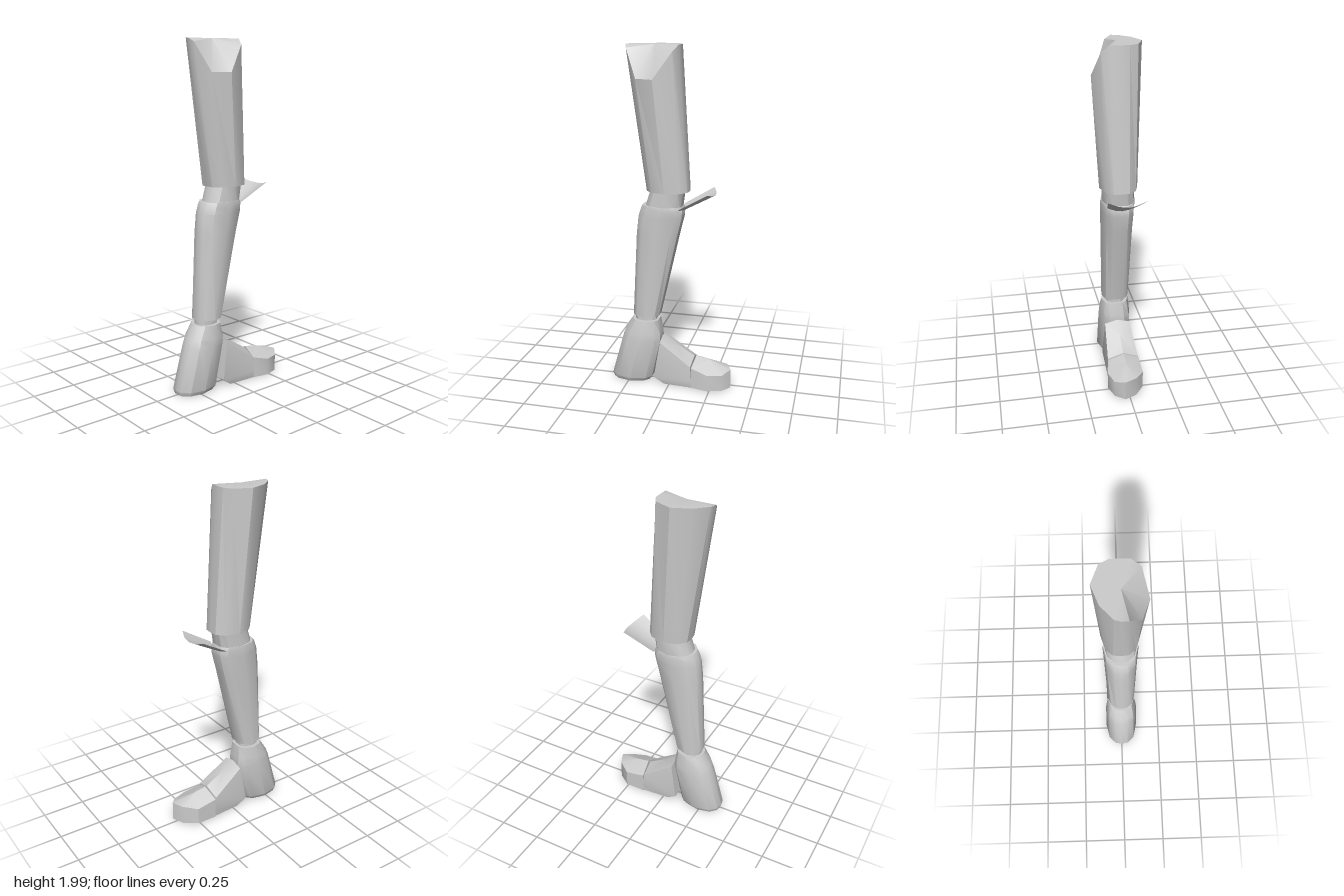
import * as THREE from 'three';
import { toCreasedNormals } from 'three/addons/utils/BufferGeometryUtils.js';

const material = new THREE.MeshStandardMaterial({ color: 0xcccccc });

// Mirrors half an outline [x, z] across z = 0; y is a number or a rule of x and z
function ring(half, y) {
  const far = half.filter(p => p[1] !== 0).reverse().map(([x, z]) => [x, -z]);
  return level([...half, ...far], y);
}

function level(outline, y) {
  return outline.map(([x, z]) => [x, typeof y === 'function' ? y(x, z) : y, z]);
}

function middle(points) {
  return [0, 1, 2].map(k => points.reduce((s, p) => s + p[k], 0) / points.length);
}

// Closed solid through rings from bottom to top, with fan caps
function loft(name, rings, topCentre) {
  const pos = [];
  const tri = (...corners) => corners.forEach(c => pos.push(...c));
  const n = rings[0].length;
  const low = rings[0], high = rings[rings.length - 1];
  const base = middle(low), top = topCentre || middle(high);
  for (let i = 0; i < n; i++) {
    const j = (i + 1) % n;
    for (let r = 0; r < rings.length - 1; r++) {
      const a = rings[r], b = rings[r + 1];
      tri(a[i], b[i], b[j]);
      tri(a[i], b[j], a[j]);
    }
    tri(base, low[i], low[j]);
    tri(top, high[j], high[i]);
  }
  return finish(name, pos, material);
}

function finish(name, pos, mat) {
  const geo = new THREE.BufferGeometry();
  geo.setAttribute('position', new THREE.Float32BufferAttribute(pos, 3));
  geo.computeVertexNormals();
  const mesh = new THREE.Mesh(toCreasedNormals(geo, 0.6), mat);
  mesh.name = name;
  return mesh;
}

// Rounded half outline between a back and a front x, with a flattened front
function limb(back, front, w) {
  const d = front - back;
  return [[front, 0], [front - d * 0.01, w * 0.45], [front - d * 0.13, w * 0.78], [front - d * 0.48, w],
    [back + d * 0.18, w * 0.8], [back + d * 0.03, w * 0.4], [back, 0]];
}

export function createModel() {
  const leg = new THREE.Group();
  leg.name = 'leg';

  // Thigh, with its top cut away on the +z side
  const thighTop = [[0.05, 0], [0.05, 0.05], [0.025, 0.10], [-0.076, 0.14], [-0.18, 0.10], [-0.25, 0.035], [-0.26, 0]];
  const cut = (x, z) => {
    if (z < 0.03) return 2;
    if (x > 0.04) return 2;
    if (x > 0) return 1.965;
    return x < -0.2 ? 1.98 : 1.82;
  };
  const thighBase = [[0.105, 0], [0.10, 0.045], [0.065, 0.085], [-0.02, 0.11], [-0.10, 0.085], [-0.135, 0.045], [-0.14, 0]];
  leg.add(loft('thigh', [ring(thighBase, 1.19), ring(thighTop, cut)], [-0.1, 2, 0]));

  // Knee joint
  leg.add(loft('knee', [ring(limb(-0.155, 0.06, 0.095), 1.09), ring(limb(-0.12, 0.075, 0.095), 1.2)]));

  // Shin, curved at the calf
  leg.add(loft('shin', [
    [0.43, -0.23, -0.07, 0.083],
    [0.93, -0.207, 0.043, 0.096],
    [1.04, -0.195, 0.07, 0.10],
    [1.085, -0.18, 0.072, 0.102],
    [1.105, -0.168, 0.06, 0.1],
  ].map(([y, back, front, w]) => ring(limb(back, front, w), y))));

  // Flared knee plate, a thin curved sheet
  const plate = [];
  const across = 4;
  const edge = (i, tip) => {
    const t = i / across * 2 - 1, c = t * t;
    return tip ? [0.253 - 0.028 * c, 1.172 + 0.022 * c, -0.012 - 0.113 * t]
      : [0.06 - 0.005 * c, 1.07 + 0.025 * c, -0.005 - 0.083 * t];
  };
  for (let i = 0; i < across; i++) {
    const [a, b, c, d] = [edge(i, false), edge(i + 1, false), edge(i + 1, true), edge(i, true)];
    plate.push(...a, ...c, ...b, ...a, ...d, ...c);
  }
  leg.add(finish('kneePlate', plate, new THREE.MeshStandardMaterial({ color: 0xcccccc, side: THREE.DoubleSide })));

  // Ankle joint
  leg.add(loft('ankle', [ring(limb(-0.22, -0.09, 0.06), 0.38), ring(limb(-0.22, -0.09, 0.06), 0.45)]));

  // Heel, flaring backwards to the ground
  leg.add(loft('heel', [
    [0.01, -0.36, -0.13, 0.085],
    [0.035, -0.368, -0.11, 0.1],
    [0.28, -0.3, -0.058, 0.098],
    [0.325, -0.283, -0.062, 0.095],
    [0.4, -0.235, -0.075, 0.082],
  ].map(([y, back, front, w]) => ring(limb(back, front, w), y))));

  // Middle of the foot, with a sloping ridge
  const ridge = [[0.14, 0], [0.132, 0.092], [-0.055, 0.076], [-0.055, 0]];
  const ridgeHeight = (x, z) => 0.262 - 0.6 * x - (z ? 0.02 + (x > 0 ? 0.02 : 0) : 0);
  leg.add(loft('midfoot', [
    ring([[0.14, 0], [0.14, 0.092], [-0.03, 0.08], [-0.03, 0]], 0.012),
    ring([[0.14, 0], [0.14, 0.096], [-0.09, 0.09], [-0.09, 0]], 0.055),
    ring(ridge, ridgeHeight),
  ], [0.04, 0.238, 0]));

  // Toe, with an off-centre tip
  const toe = [[0.365, 0.03], [0.32, 0.085], [0.235, 0.11], [0.138, 0.09], [0.152, 0],
    [0.138, -0.095], [0.26, -0.095], [0.335, -0.04]];
  const toeHeight = (x, z) => 0.18 - 0.18 * (x - 0.15) - 0.5 * Math.abs(z);
  leg.add(loft('toe', [level(toe, 0.01), level(toe, toeHeight)], [0.23, 0.166, 0]));

  return leg;
}
